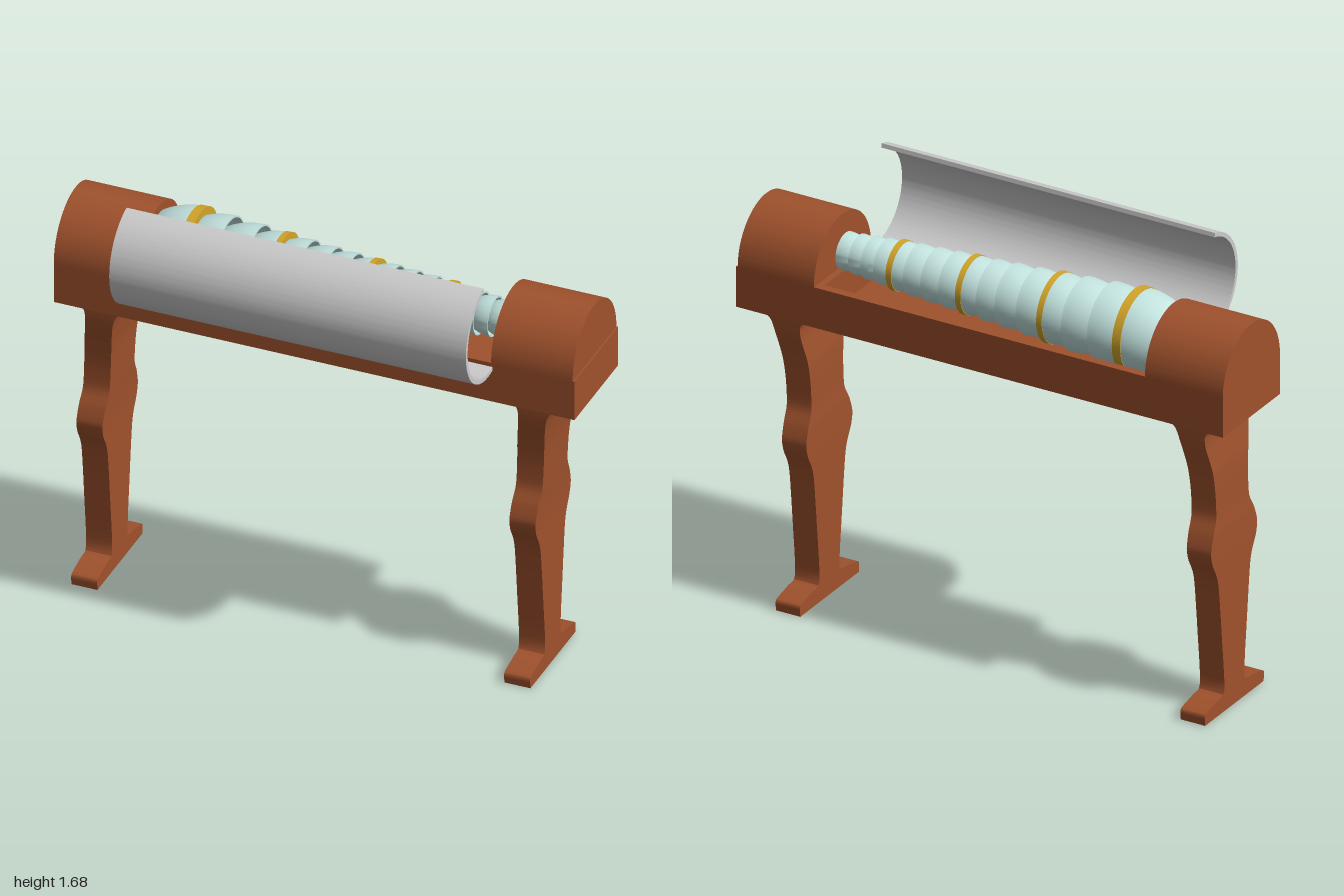
import * as THREE from 'three';
import { toCreasedNormals } from 'three/addons/utils/BufferGeometryUtils.js';

const wood = new THREE.MeshStandardMaterial({ color: 0xa0522d });
const glass = new THREE.MeshStandardMaterial({ color: 0xc4e4e0 });
const gold = new THREE.MeshStandardMaterial({ color: 0xd4a52a });
const grey = new THREE.MeshStandardMaterial({ color: 0xcccccc, side: THREE.DoubleSide });

const CZ = -0.113;            // z of the long axis of the body
const HALF = 0.198;           // half depth of the body
const BASE_Y = 1.16, DECK_Y = 1.32;

function add(parent, name, geometry, material) {
  const mesh = new THREE.Mesh(geometry, material);
  mesh.name = name;
  parent.add(mesh);
  return mesh;
}

// Extrudes a (-z, y) profile along x from x0 to x1
function extrudeX(shape, x0, x1) {
  const g = new THREE.ExtrudeGeometry(shape, { depth: x1 - x0, bevelEnabled: false, curveSegments: 40 });
  g.rotateY(Math.PI / 2).translate(x0, 0, 0);
  return toCreasedNormals(g, 0.5);
}

function rectPath(Type, x0, x1, y0, y1) {
  const p = new Type();
  p.moveTo(x0, y0);
  p.lineTo(x1, y0);
  p.lineTo(x1, y1);
  p.lineTo(x0, y1);
  p.closePath();
  return p;
}

// Leg: rectangular cross-sections [y, xMin, xMax, half depth], swept smoothly upward
function legGeometry() {
  const rows = [
    [0, -0.93, -0.83, 0.203], [0.035, -0.93, -0.83, 0.205], [0.047, -0.93, -0.83, 0.19],
    [0.062, -0.93, -0.83, 0.12], [0.085, -0.93, -0.83, 0.07], [0.3, -0.93, -0.83, 0.087],
    [0.5, -0.93, -0.83, 0.108], [0.56, -0.93, -0.83, 0.124], [0.61, -0.93, -0.83, 0.15],
    [0.66, -0.929, -0.829, 0.16], [0.72, -0.927, -0.826, 0.142], [0.78, -0.923, -0.822, 0.114],
    [0.88, -0.919, -0.817, 0.113], [0.97, -0.914, -0.81, 0.124], [1.075, -0.9, -0.795, 0.15],
    [1.13, -0.905, -0.775, 0.156], [1.165, -0.96, -0.71, 0.158],
  ];
  const curve = (f) => new THREE.CatmullRomCurve3(rows.map(f), false, 'catmullrom', 0.4);
  const minSide = curve((r) => new THREE.Vector3(r[1], r[0], r[3]));
  const maxSide = curve((r) => new THREE.Vector3(r[2], r[0], r[3]));
  const n = (rows.length - 1) * 4, pos = [], index = [];
  for (let i = 0; i <= n; i++) {
    const a = minSide.getPoint(i / n), b = maxSide.getPoint(i / n);
    pos.push(a.x, a.y, CZ + a.z, b.x, a.y, CZ + a.z, b.x, a.y, CZ - a.z, a.x, a.y, CZ - a.z);
  }
  for (let i = 0; i < n; i++) {
    for (let k = 0; k < 4; k++) {
      const a = i * 4 + k, b = i * 4 + (k + 1) % 4;
      index.push(a, b, b + 4, a, b + 4, a + 4);
    }
  }
  const t = n * 4;
  index.push(0, 2, 1, 0, 3, 2, t, t + 1, t + 2, t, t + 2, t + 3);
  const g = new THREE.BufferGeometry();
  g.setAttribute('position', new THREE.Float32BufferAttribute(pos, 3));
  g.setIndex(index);
  return toCreasedNormals(g, 0.6);
}

// Thin-walled bowl: half-ellipse dome toward -x, open rim at x = 0
function bowlGeometry(R) {
  const pts = [], wall = 0.006, steps = 16;
  const arc = (r, len, i) => {
    const a = (i / steps) * Math.PI / 2;
    pts.push(new THREE.Vector2(r * Math.sin(a), -len * Math.cos(a)));
  };
  for (let i = 0; i <= steps; i++) arc(R, R * 1.5, i);
  for (let i = steps; i >= 0; i--) arc(R - wall, R * 1.5 - wall, i);
  return toCreasedNormals(new THREE.LatheGeometry(pts, 48).rotateZ(-Math.PI / 2), 0.7);
}

export function createModel() {
  const model = new THREE.Group();
  model.name = 'bowlInstrument';

  // Tray: outer block with a rectangular well, and its floor
  const rim = rectPath(THREE.Shape, -1, 1, -CZ - HALF, -CZ + HALF);
  rim.holes.push(rectPath(THREE.Path, -0.67, 0.655, -CZ - 0.165, -CZ + 0.165));
  const trayGeo = new THREE.ExtrudeGeometry(rim, { depth: DECK_Y - BASE_Y, bevelEnabled: false });
  add(model, 'trayFrame', trayGeo.rotateX(-Math.PI / 2).translate(0, BASE_Y, 0), wood);
  add(model, 'trayFloor', new THREE.BoxGeometry(1.34, 0.035, 0.34), wood)
    .position.set(-0.007, BASE_Y + 0.0185, CZ);

  // Rounded end caps
  const cap = new THREE.Shape();
  cap.moveTo(-CZ + HALF, DECK_Y);
  cap.absellipse(-CZ, DECK_Y, HALF, 0.206, 0, Math.PI, false);
  cap.closePath();
  add(model, 'rightEndCap', extrudeX(cap, -1, -0.68), wood);
  add(model, 'leftEndCap', extrudeX(cap, 0.68, 0.993), wood);

  // Legs, both bending the same way
  const leg = legGeometry();
  add(model, 'rightLeg', leg, wood);
  add(model, 'leftLeg', leg, wood).position.x = 1.663;

  // Open half-round lid hinged on the front edge
  const lid = new THREE.Shape();
  const start = 1.785, end = start + Math.PI;
  lid.absarc(-0.125, 1.485, 0.2, start, end, false);
  lid.absarc(-0.125, 1.485, 0.184, end, start, true);
  lid.closePath();
  add(model, 'lid', extrudeX(lid, -0.685, 0.685), grey);

  // Nested glass bowls on a spindle, with gilded rims on some
  const bowls = new THREE.Group();
  bowls.name = 'glassBowls';
  bowls.position.set(0, 1.383, CZ);
  model.add(bowls);
  const rims = [-0.52, -0.41, -0.298, -0.195, -0.104, -0.013, 0.067, 0.152,
    0.227, 0.302, 0.377, 0.447, 0.505, 0.56, 0.613, 0.667];
  const radii = [0.155, 0.146, 0.138, 0.131, 0.124, 0.118, 0.113, 0.109,
    0.104, 0.1, 0.096, 0.092, 0.085, 0.08, 0.075, 0.071];
  rims.forEach((x, i) => {
    const R = radii[i];
    add(bowls, 'bowl', bowlGeometry(R), glass).position.x = x;
    if ([0, 3, 7, 11].includes(i)) {
      const w = i === 0 ? 0.033 : 0.022;
      const band = new THREE.CylinderGeometry(R + 0.002, R * 0.99 + 0.002, w, 48);
      add(bowls, 'goldRim', band.rotateZ(-Math.PI / 2), gold).position.x = x - w / 2 + 0.001;
    }
  });
  add(bowls, 'spindle', new THREE.CylinderGeometry(0.015, 0.015, 1.4, 16).rotateZ(Math.PI / 2), wood);

  return model;
}
